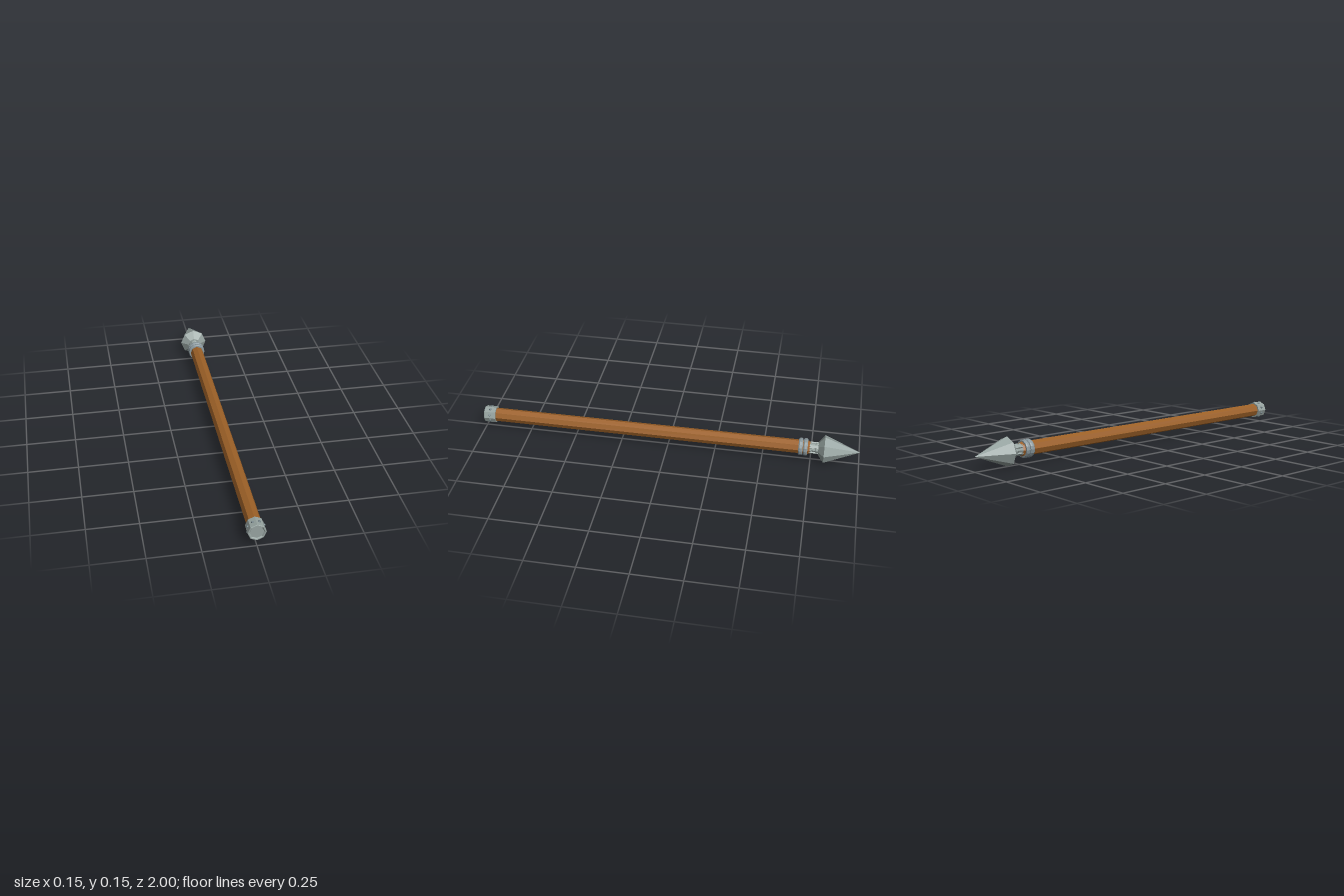
import * as THREE from 'three';

const AXIS_Y = 0.074;
const SIDES = 8;

export function createModel() {
  const mat = (name, color) => {
    const m = new THREE.MeshStandardMaterial({ color, flatShading: true });
    m.name = name;
    return m;
  };
  const steel = mat('steel', 0x96a3a0);
  const band = mat('blueSteel', 0x8a989d);
  const rivetSteel = mat('rivetSteel', 0x6f7f84);
  const wood = mat('wood', 0x9c6027);

  const spear = new THREE.Group();
  spear.name = 'spear';
  spear.position.y = AXIS_Y;

  // Faceted solid turned about z from [radius, z] pairs, listed from back (-z) to front
  const turned = (name, profile, material, sides = SIDES) => {
    const pts = profile.map(([r, z]) => new THREE.Vector2(r, z));
    const geo = new THREE.LatheGeometry(pts, sides).rotateX(Math.PI / 2);
    const mesh = new THREE.Mesh(geo, material);
    mesh.name = name;
    spear.add(mesh);
    return mesh;
  };

  // Wooden pole, running just past the binding rings
  turned('shaft', [[0, -0.745], [0.03, -0.745], [0.036, -0.735], [0.036, 0.95], [0, 0.95]], wood);

  // Pointed head with a short taper behind its widest edge
  turned('head', [[0, -1], [0.073, -0.817], [0.034, -0.787], [0, -0.787]], steel);

  // Socket joining head and pole
  turned('socket', [
    [0.03, -0.795], [0.03, -0.775], [0.026, -0.77], [0.026, -0.752],
    [0.031, -0.747], [0.031, -0.735], [0, -0.735],
  ], steel);

  // Narrow straps from the socket over the pole end
  for (let i = 0; i < 4; i++) {
    const a = (i + 0.5) * Math.PI / 2;
    const strap = new THREE.Mesh(new THREE.BoxGeometry(0.008, 0.016, 0.075), steel);
    strap.name = 'socketStrap';
    strap.position.set(Math.cos(a) * 0.026, Math.sin(a) * 0.026, -0.75);
    strap.rotation.z = a;
    spear.add(strap);
  }

  // Two binding rings
  for (const z of [-0.721, -0.696]) {
    turned('bindingRing', [
      [0.034, z - 0.011], [0.042, z - 0.011], [0.046, z - 0.005],
      [0.046, z + 0.005], [0.042, z + 0.011], [0.034, z + 0.011],
    ], band, 16);
  }

  // Butt cap with a shallow recessed end
  turned('buttCap', [
    [0.035, 0.938], [0.044, 0.938], [0.044, 0.997], [0.042, 1],
    [0.037, 1], [0.033, 0.994], [0, 0.994],
  ], steel);

  // One rivet in the middle of each cap facet
  const rivetGeo = new THREE.SphereGeometry(0.007, 8, 6);
  for (let i = 0; i < SIDES; i++) {
    const a = (i + 0.5) * 2 * Math.PI / SIDES;
    const rivet = new THREE.Mesh(rivetGeo, rivetSteel);
    rivet.name = 'capRivet';
    rivet.position.set(Math.cos(a) * 0.04, Math.sin(a) * 0.04, 0.968);
    spear.add(rivet);
  }

  const model = new THREE.Group();
  model.name = 'model';
  model.add(spear);
  return model;
}
